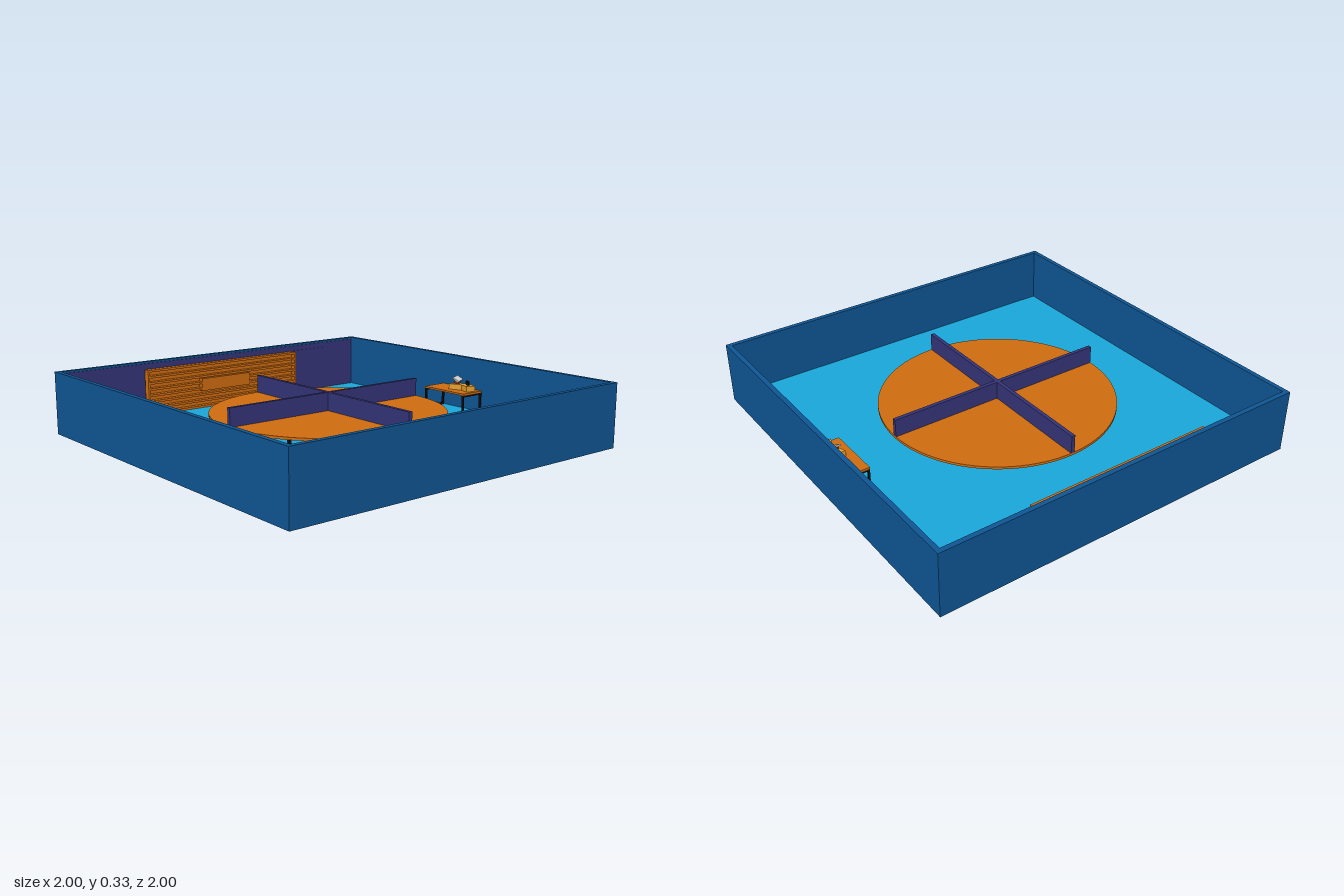
import * as THREE from 'three';

const mat = (color) => new THREE.MeshStandardMaterial({ color });
const BLUE = mat(0x0f5694), FLOOR = mat(0x1aa7da), WOOD = mat(0xd06c10), PURPLE = mat(0x35357a);
const BLACK = mat(0x111111), GREY = mat(0xcccccc), AMBER = mat(0xe8a030), RUST = mat(0x7a3010);
const FLOOR_Y = 0.04;

// Box given by its centre and size
function box(parent, name, material, [x, y, z], [w, h, d]) {
  const mesh = new THREE.Mesh(new THREE.BoxGeometry(w, h, d), material);
  mesh.name = name;
  mesh.position.set(x, y, z);
  parent.add(mesh);
  return mesh;
}

function group(parent, name) {
  const g = new THREE.Group();
  g.name = name;
  parent.add(g);
  return g;
}

// Square-bar U frame standing on the floor, running along x
function legFrame(parent, width, top, bar) {
  const g = group(parent, 'legFrame');
  const h = top - FLOOR_Y;
  for (const s of [-1, 1]) {
    box(g, 'leg', BLACK, [s * (width - bar) / 2, FLOOR_Y + h / 2, 0], [bar, h, bar]);
  }
  for (const y of [FLOOR_Y + bar / 2, top - bar / 2]) {
    box(g, 'crossbar', BLACK, [0, y, 0], [width - 2 * bar, bar, bar]);
  }
  return g;
}

function buildRoom(root) {
  const room = group(root, 'room');
  box(room, 'base', BLUE, [0, 0.015, 0], [2, 0.03, 2]);
  box(room, 'floor', FLOOR, [0, 0.035, 0], [1.95, 0.01, 1.95]);
  for (const s of [-1, 1]) {
    box(room, 'sideWall', BLUE, [s * 0.9875, 0.18, 0], [0.025, 0.3, 2]);
    box(room, 'endWall', BLUE, [0, 0.18, s * 0.9875], [1.95, 0.3, 0.025]);
  }
  // Lining and door on the back wall
  box(room, 'wallLining', PURPLE, [0, 0.18, -0.9725], [1.94, 0.28, 0.005]);
  box(room, 'door', PURPLE, [0.6, 0.165, -0.969], [0.3, 0.25, 0.002]);
}

function buildRoundTable(root) {
  const table = group(root, 'roundTable');
  const top = new THREE.Mesh(new THREE.CylinderGeometry(0.6, 0.6, 0.013, 96), WOOD);
  top.name = 'tableTop';
  top.position.y = 0.1535;
  table.add(top);
  // Crossed dividers
  box(table, 'longDivider', PURPLE, [0, 0.207, 0], [1.2, 0.094, 0.02]);
  for (const s of [-1, 1]) {
    box(table, 'shortDivider', PURPLE, [0, 0.207, s * 0.305], [0.02, 0.094, 0.59]);
  }
  // One leg frame on each side
  for (let i = 0; i < 4; i++) {
    const pivot = group(table, 'legs');
    pivot.rotation.y = i * Math.PI / 2;
    legFrame(pivot, 0.4, 0.147, 0.015).position.z = 0.39;
  }
}

function buildShelf(root) {
  const shelf = group(root, 'wallShelf');
  const z = -0.9425, depth = 0.035, y0 = FLOOR_Y, y1 = 0.29, count = 8;
  box(shelf, 'back', WOOD, [0, (y0 + y1) / 2, z - 0.015], [1, y1 - y0, 0.005]);
  for (const s of [-1, 1]) {
    box(shelf, 'end', WOOD, [s * 0.495, (y0 + y1) / 2, z], [0.01, y1 - y0, depth]);
  }
  for (let i = 0; i < count; i++) {
    const y = y0 + 0.006 + i * (y1 - y0 - 0.012) / (count - 1);
    box(shelf, 'board', WOOD, [0, y, z], [0.98, 0.012, depth]);
  }
  box(shelf, 'centrePanel', WOOD, [0, 0.17, z + 0.001], [0.32, 0.07, depth]);
}

function buildDesk(root) {
  const desk = group(root, 'desk');
  desk.position.set(0.895, 0, -0.002);
  box(desk, 'deskTop', WOOD, [0, 0.155, 0], [0.145, 0.01, 0.295]);
  for (const s of [-1, 1]) legFrame(desk, 0.145, 0.15, 0.01).position.z = s * 0.142;

  // Small device with a bent body and a tilted plate
  const device = group(desk, 'deskDevice');
  device.position.set(0.012, 0.16, 0.065);
  const s = new THREE.Shape([[-0.04, -0.07], [0.04, -0.07], [0.022, -0.03], [0.045, -0.01],
    [0.02, 0.07], [-0.03, 0.055], [-0.012, 0]].map(([x, y]) => new THREE.Vector2(x, -y)));
  const body = new THREE.Mesh(new THREE.ExtrudeGeometry(s, { depth: 0.03, bevelEnabled: false }), AMBER);
  body.name = 'deviceBody';
  body.rotation.x = -Math.PI / 2;
  device.add(body);
  const plate = box(device, 'devicePlate', GREY, [0.005, 0.055, -0.045], [0.05, 0.008, 0.04]);
  plate.rotation.set(0.5, 0.3, 0);
  box(device, 'deviceSupport', RUST, [0.004, 0.04, -0.045], [0.035, 0.025, 0.02]).rotation.y = 0.3;
  for (const [x, z] of [[0.024, 0.01], [0.005, 0.03]]) {
    box(device, 'deviceLever', BLACK, [x, 0.04, z], [0.005, 0.02, 0.03]).rotation.y = -0.3;
  }
}

export function createModel() {
  const root = new THREE.Group();
  root.name = 'roomModel';
  buildRoom(root);
  buildRoundTable(root);
  buildShelf(root);
  buildDesk(root);
  return root;
}
